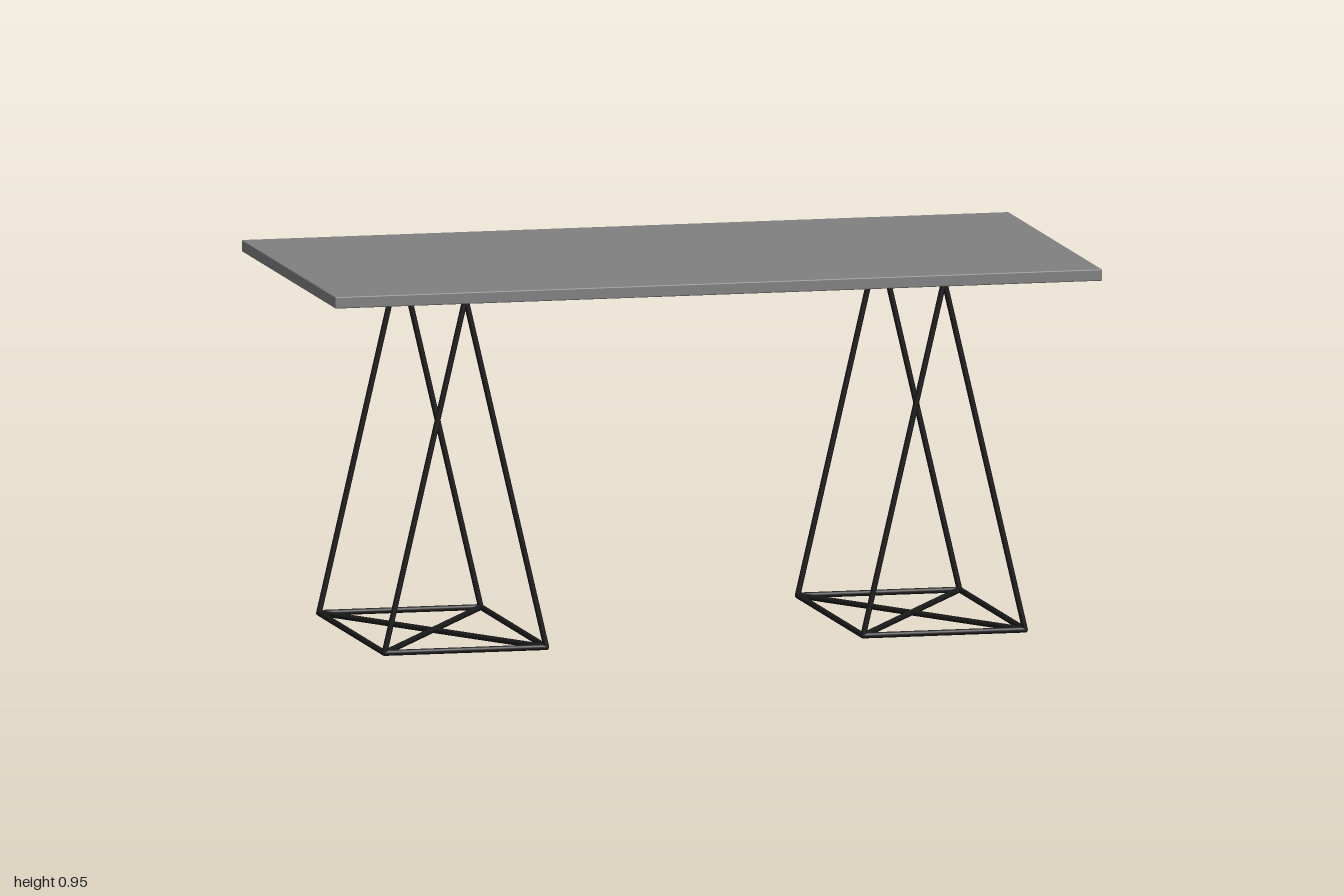
import * as THREE from 'three';
import { RoundedBoxGeometry } from 'three/addons/geometries/RoundedBoxGeometry.js';

const R = 0.0075; // rod radius

export function createModel() {
  const model = new THREE.Group();
  model.name = 'trestleTable';
  const topMaterial = new THREE.MeshStandardMaterial({ color: 0x808080 });
  const rodMaterial = new THREE.MeshStandardMaterial({ color: 0x1a1a1a });

  // Tabletop with slightly eased edges
  const top = new THREE.Mesh(new RoundedBoxGeometry(2, 0.03, 1, 2, 0.003), topMaterial);
  top.name = 'tabletop';
  top.position.y = 0.932;
  model.add(top);

  // Round rod between two points
  const rod = (name, a, b) => {
    const dir = b.clone().sub(a);
    const mesh = new THREE.Mesh(new THREE.CylinderGeometry(R, R, dir.length(), 12), rodMaterial);
    mesh.name = name;
    mesh.position.copy(a).add(b).multiplyScalar(0.5);
    mesh.quaternion.setFromUnitVectors(new THREE.Vector3(0, 1, 0), dir.normalize());
    return mesh;
  };

  // Trestle: ridge bar, four splayed legs, rectangular base with crossed braces
  const makeTrestle = (name, x) => {
    const g = new THREE.Group();
    g.name = name;
    g.position.x = x;
    const hx = 0.211, hz = 0.35;
    const foot = (sx, sz) => new THREE.Vector3(sx * hx, R, sz * hz);
    const apex = (sz) => new THREE.Vector3(0, 0.917 - R, sz * hz);

    g.add(rod('ridgeBar', apex(-1), apex(1)));
    for (const s of [-1, 1]) {
      g.add(rod('baseEndBar', foot(-1, s), foot(1, s)));
      g.add(rod('baseSideBar', foot(s, -1), foot(s, 1)));
      g.add(rod('baseBrace', foot(-1, s), foot(1, -s)));
      for (const t of [-1, 1]) g.add(rod('leg', foot(t, s), apex(s)));
    }

    // Rounded joints at the feet and ridge ends
    const joints = [apex(-1), apex(1), foot(-1, -1), foot(1, -1), foot(-1, 1), foot(1, 1)];
    for (const p of joints) {
      const joint = new THREE.Mesh(new THREE.SphereGeometry(R, 12, 8), rodMaterial);
      joint.name = 'joint';
      joint.position.copy(p);
      g.add(joint);
    }
    return g;
  };

  model.add(makeTrestle('leftTrestle', 0.624), makeTrestle('rightTrestle', -0.624));
  return model;
}
